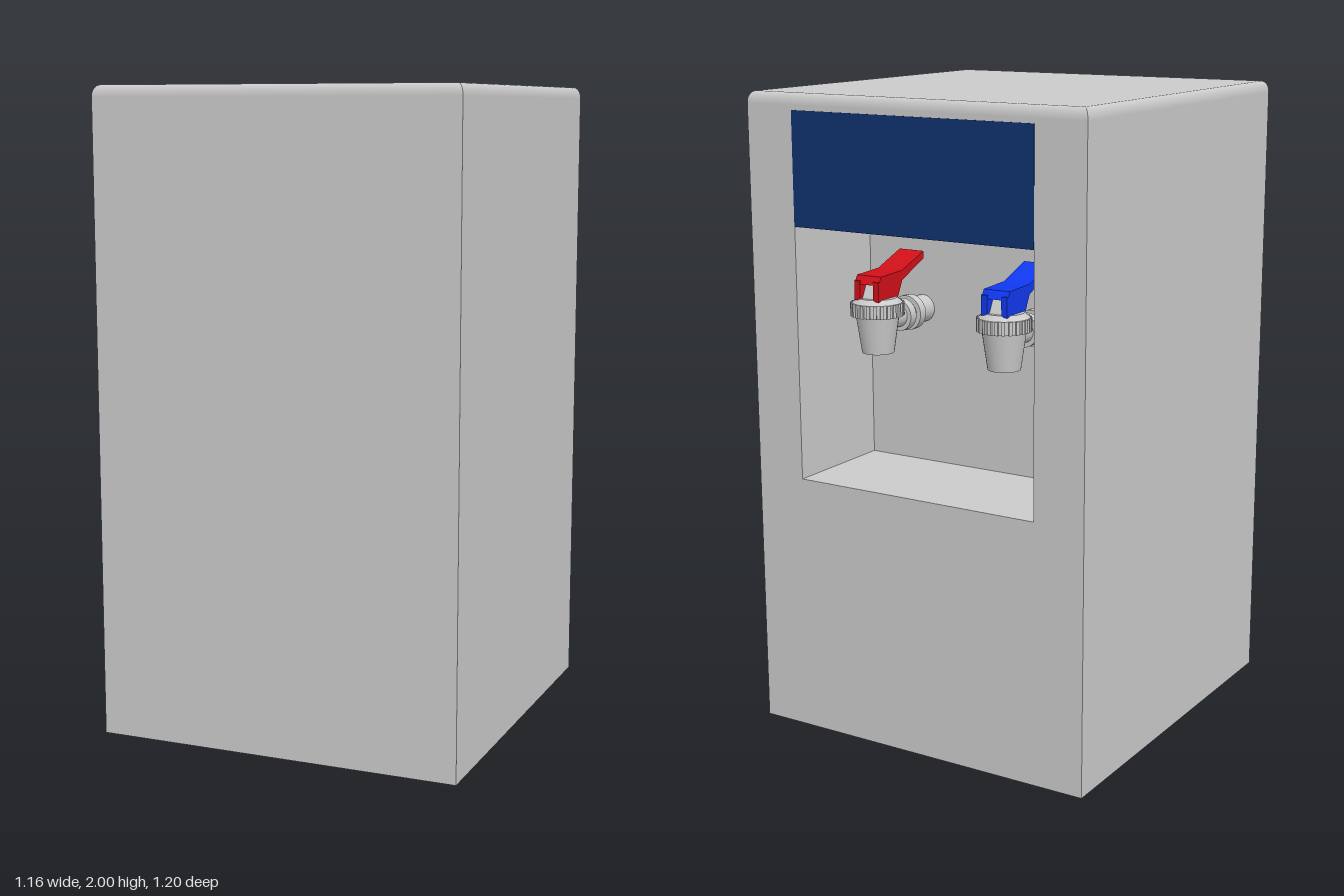
import * as THREE from 'three';

const W = 0.58, D = 0.6, H = 2;             // half width, half depth, height
const INSET = 0.02, DROP = 0.035;           // rounded top edge
const NICHE = { w: 0.83, y0: 0.82, y1: 1.605, depth: 0.38 };

const grey = new THREE.MeshStandardMaterial({ color: 0xcccccc });
const greyInside = new THREE.MeshStandardMaterial({ color: 0xcccccc, side: THREE.BackSide });
const navy = new THREE.MeshStandardMaterial({ color: 0x0f3270 });
const red = new THREE.MeshStandardMaterial({ color: 0xd01018 });
const blue = new THREE.MeshStandardMaterial({ color: 0x1038f0 });

function add(parent, name, geometry, material = grey, x = 0, y = 0, z = 0) {
  const mesh = new THREE.Mesh(geometry, material);
  mesh.name = name;
  mesh.position.set(x, y, z);
  parent.add(mesh);
  return mesh;
}

// Box keeping only some faces, in the order +x, -x, +y, -y, +z, -z
function openBox(w, h, d, faces) {
  const g = new THREE.BoxGeometry(w, h, d);
  const all = Array.from(g.index.array);
  g.setIndex(faces.flatMap(f => all.slice(f * 6, f * 6 + 6)));
  g.clearGroups();
  return g;
}

// Rounded, mitred edge running around the top
function topEdge(steps = 8) {
  const corners = [[-1, 1], [1, 1], [1, -1], [-1, -1]];
  const out = [[0, 1], [1, 0], [0, -1], [-1, 0]];
  const pos = [], nor = [], idx = [];
  for (let k = 0; k < 4; k++) {
    const base = pos.length / 3;
    for (let j = 0; j <= steps; j++) {
      const t = (j / steps) * Math.PI / 2;
      const inset = INSET * (1 - Math.cos(t));
      const y = H - DROP + DROP * Math.sin(t);
      const n = new THREE.Vector2(Math.cos(t) / INSET, Math.sin(t) / DROP).normalize();
      for (const c of [corners[k], corners[(k + 1) % 4]]) {
        pos.push(c[0] * (W - inset), y, c[1] * (D - inset));
        nor.push(out[k][0] * n.x, n.y, out[k][1] * n.x);
      }
      if (j < steps) {
        const a = base + j * 2;
        idx.push(a, a + 1, a + 3, a, a + 3, a + 2);
      }
    }
  }
  const g = new THREE.BufferGeometry();
  g.setAttribute('position', new THREE.Float32BufferAttribute(pos, 3));
  g.setAttribute('normal', new THREE.Float32BufferAttribute(nor, 3));
  g.setIndex(idx);
  return g;
}

function rectPath(path, x0, y0, x1, y1) {
  path.moveTo(x0, y0);
  path.lineTo(x1, y0);
  path.lineTo(x1, y1);
  path.lineTo(x0, y1);
  path.closePath();
  return path;
}

// Side profile (z, y) extruded across x and centred on x = 0
function sideExtrude(points, width) {
  const shape = new THREE.Shape(points.map(([z, y]) => new THREE.Vector2(-z, y)));
  const g = new THREE.ExtrudeGeometry(shape, { depth: width, bevelEnabled: false });
  g.translate(0, 0, -width / 2);
  g.rotateY(Math.PI / 2);
  return g;
}

// Profile of [radius, height] pairs; corners stay sharp because each band is separate
function turned(parent, name, profile, segments = 32) {
  const group = new THREE.Group();
  group.name = name;
  for (let i = 0; i < profile.length - 1; i++) {
    const pts = [profile[i], profile[i + 1]].map(p => new THREE.Vector2(...p));
    add(group, name + 'Band', new THREE.LatheGeometry(pts, segments));
  }
  parent.add(group);
  return group;
}

// Tap standing at its own origin: spout axis on x = z = 0, spout mouth at y = 0
function createTap(name, color) {
  const tap = new THREE.Group();
  tap.name = name;

  // tapered spout with a collar
  turned(tap, 'spout', [
    [0, 0.02], [0.04, 0.02], [0.04, 0], [0.049, 0], [0.066, 0.115],
    [0.076, 0.115], [0.076, 0.155], [0.06, 0.17], [0, 0.17],
  ]);

  // grip ribs around the collar
  const ribs = 24;
  for (let i = 0; i < ribs; i++) {
    const a = (i / ribs) * Math.PI * 2;
    const rib = add(tap, 'collarRib', new THREE.BoxGeometry(0.01, 0.04, 0.01), grey,
      Math.sin(a) * 0.077, 0.135, Math.cos(a) * 0.077);
    rib.rotation.y = a;
  }

  // stepped pipe running to the niche wall
  const pipe = turned(tap, 'pipe', [
    [0.036, 0.03], [0.036, 0.105], [0.05, 0.105], [0.05, 0.135], [0.04, 0.135], [0.04, 0.15],
    [0.055, 0.15], [0.055, 0.18], [0.043, 0.18], [0.043, 0.245],
  ], 24);
  pipe.rotation.x = Math.PI / 2;
  pipe.position.y = 0.095;

  // stem between the lever cheeks
  add(tap, 'stem', sideExtrude([[-0.055, 0.15], [0.04, 0.15], [0.04, 0.22], [-0.02, 0.22]], 0.045));

  // lever: two cheeks, a top plate and a thumb tab that rises to the rear
  for (const s of [-1, 1]) {
    add(tap, 'leverCheek', sideExtrude(
      [[-0.055, 0.165], [0.045, 0.165], [0.075, 0.225], [-0.055, 0.225]], 0.02), color, s * 0.034);
  }
  add(tap, 'leverTop', sideExtrude(
    [[-0.055, 0.215], [0.07, 0.215], [0.185, 0.265], [0.185, 0.288], [0.07, 0.245], [-0.04, 0.24]],
    0.088), color);
  return tap;
}

export function createModel() {
  const model = new THREE.Group();
  model.name = 'waterDispenser';

  // cabinet: sides, front and bottom
  const wallH = H - DROP;
  add(model, 'cabinetWalls', openBox(W * 2, wallH, D * 2, [0, 1, 3, 4]), grey, 0, wallH / 2, 0);
  add(model, 'topEdge', topEdge());
  const top = add(model, 'topPanel',
    new THREE.PlaneGeometry((W - INSET) * 2, (D - INSET) * 2), grey, 0, H, 0);
  top.rotation.x = -Math.PI / 2;

  // wall with the serving opening
  const wall = rectPath(new THREE.Shape(), -W, 0, W, wallH);
  wall.holes.push(rectPath(new THREE.Path(), -NICHE.w / 2, NICHE.y0, NICHE.w / 2, NICHE.y1));
  const servingWall = add(model, 'servingWall', new THREE.ShapeGeometry(wall), grey, 0, 0, -D);
  servingWall.rotation.y = Math.PI;

  // niche lining, open on its outer side
  const nicheH = NICHE.y1 - NICHE.y0;
  add(model, 'niche', openBox(NICHE.w, nicheH, NICHE.depth, [0, 1, 2, 3, 4]), greyInside,
    0, NICHE.y0 + nicheH / 2, -D + NICHE.depth / 2);

  // coloured panel above the niche
  add(model, 'displayPanel', new THREE.BoxGeometry(NICHE.w, 0.345, 0.004), navy,
    0, NICHE.y1 + 0.1725, -D);

  // hot and cold taps
  for (const [name, color, x] of [['hotTap', red, 0.215], ['coldTap', blue, -0.235]]) {
    const tap = createTap(name, color);
    tap.position.set(x, 1.22, -0.465);
    model.add(tap);
  }
  return model;
}
